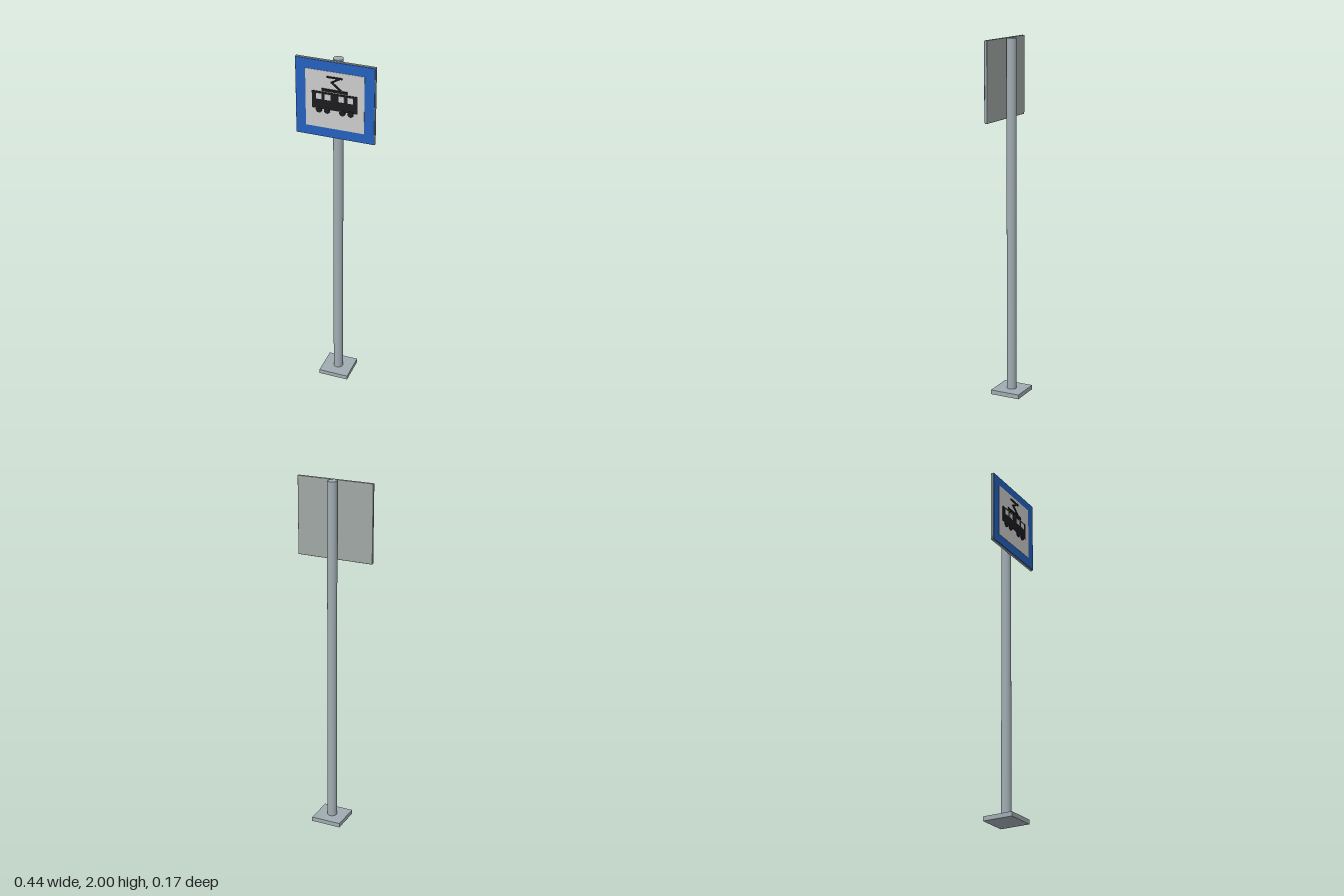
import * as THREE from 'three';
import { RoundedBoxGeometry } from 'three/addons/geometries/RoundedBoxGeometry.js';

const SIGN_Y = 1.782;

export function createModel() {
  const group = new THREE.Group();
  const mat = (color) => new THREE.MeshStandardMaterial({ color });
  const steel = mat(0xa0acb2), backing = mat(0xa0a8a6), blue = mat(0x2462bd);
  const pale = mat(0xcccccc), black = mat(0x1c1c20);

  const add = (name, geometry, material, x, y, z, parent = group) => {
    const mesh = new THREE.Mesh(geometry, material);
    mesh.name = name;
    mesh.position.set(x, y, z);
    parent.add(mesh);
    return mesh;
  };
  const box = (w, h, d) => new THREE.BoxGeometry(w, h, d);

  // Foot plate and post
  add('basePlate', box(0.174, 0.025, 0.174), steel, 0, 0.0125, 0);
  add('post', new THREE.CylinderGeometry(0.027, 0.027, 1.98, 32), steel, 0, 1.01, 0);

  // Layered sign board
  add('signBacking', new RoundedBoxGeometry(0.438, 0.436, 0.015, 2, 0.003), backing, 0, SIGN_Y, 0.0395);
  add('signBorder', box(0.43, 0.43, 0.005), blue, 0, SIGN_Y, 0.0485);
  add('signPanel', box(0.322, 0.322, 0.003), pale, 0, SIGN_Y, 0.0515);

  // Tram pictogram
  const tram = new THREE.Group();
  tram.name = 'tramSymbol';
  group.add(tram);
  add('tramBody', box(0.25, 0.097, 0.003), black, 0, 1.777, 0.0545, tram);
  add('tramRoof', box(0.14, 0.014, 0.005), black, 0, 1.838, 0.0555, tram);
  const wheel = new THREE.CylinderGeometry(0.017, 0.017, 0.004, 24).rotateX(Math.PI / 2);
  for (const side of [-1, 1]) {
    for (const x of [0.038, 0.086]) add('tramWindow', box(0.031, 0.032, 0.002), pale, side * x, 1.799, 0.0564, tram);
    for (const x of [0.042, 0.087]) add('tramWheel', wheel, black, side * x, 1.722, 0.055, tram);
  }

  // Pantograph: two slanting arms and a contact bar
  const bar = (name, x1, y1, x2, y2) => {
    const length = Math.hypot(x2 - x1, y2 - y1);
    const arm = add(name, box(length, 0.008, 0.006), black, (x1 + x2) / 2, (y1 + y2) / 2, 0.056, tram);
    arm.rotation.z = Math.atan2(y2 - y1, x2 - x1);
  };
  bar('lowerArm', 0.036, 1.845, -0.018, 1.887);
  bar('upperArm', -0.018, 1.884, 0.028, 1.911);
  bar('contactBar', -0.042, 1.913, 0.042, 1.913);

  return group;
}
